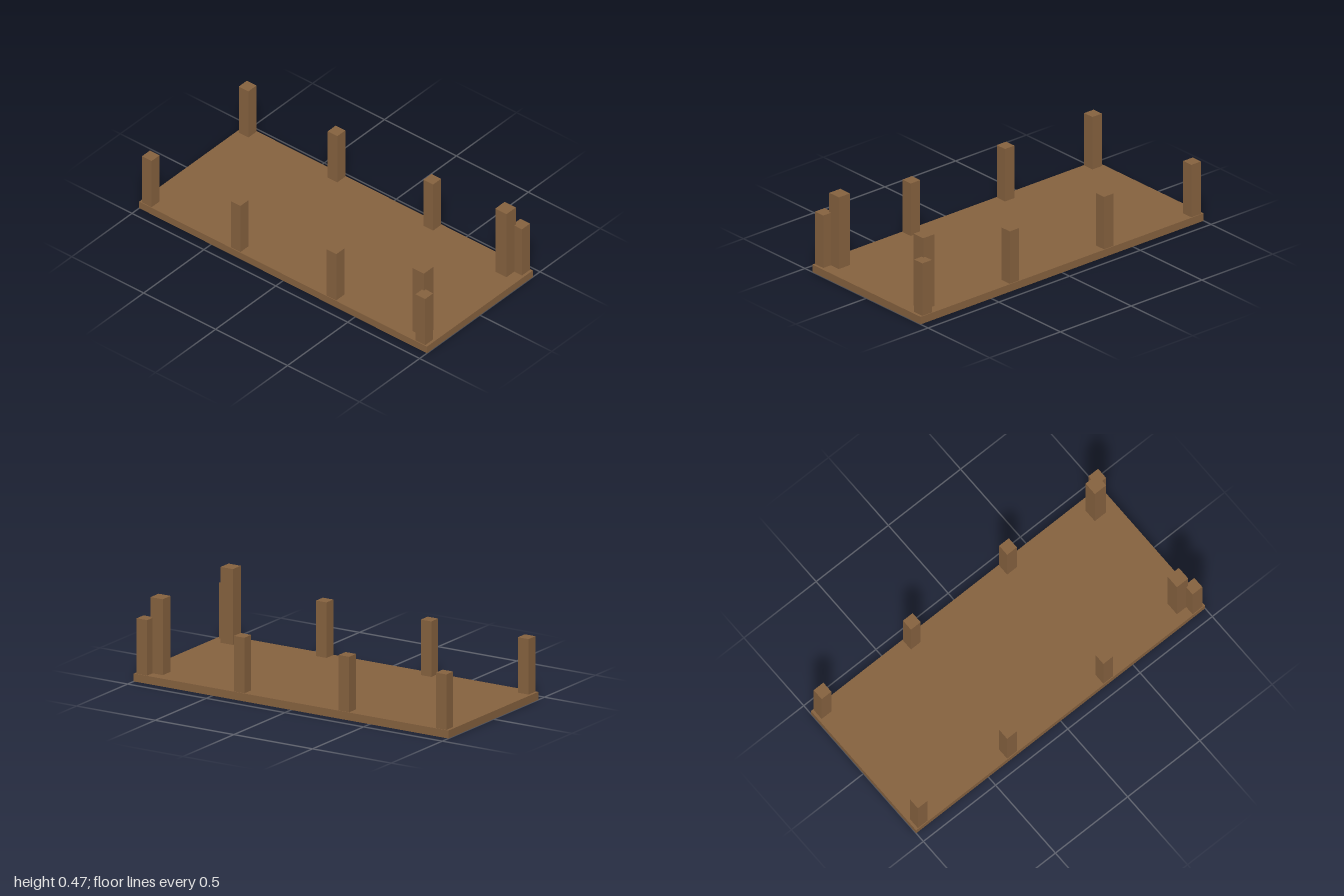
import * as THREE from 'three';

const DECK_HEIGHT = 0.044;

// Box without its bottom face, standing on its own y = 0
function openBox(w, h, d) {
  const g = new THREE.BoxGeometry(w, h, d);
  const index = Array.from(g.index.array);
  index.splice(18, 6);
  g.setIndex(index);
  g.clearGroups();
  g.translate(0, h / 2, 0);
  return g;
}

export function createModel() {
  const model = new THREE.Group();
  model.name = 'postedPlatform';

  const wood = new THREE.MeshStandardMaterial({ color: 0x86623f, side: THREE.DoubleSide });
  wood.name = 'brownWood';

  const add = (name, geometry, x, y, z) => {
    const mesh = new THREE.Mesh(geometry, wood);
    mesh.name = name;
    mesh.position.set(x, y, z);
    model.add(mesh);
  };

  // Shallow deck, hollow underneath
  add('deck', openBox(2, DECK_HEIGHT, 0.88), 0, 0, 0);

  // Posts in mirrored rows along the two long edges
  const post = openBox(0.067, 0.352 - DECK_HEIGHT, 0.067);
  const tallPost = openBox(0.078, 0.465 - DECK_HEIGHT, 0.078);
  for (const side of [1, -1]) {
    const label = side > 0 ? 'front' : 'back';
    [-0.951, -0.333, 0.333, 0.951].forEach((x, i) =>
      add(`${label}Post${i + 1}`, post, x, DECK_HEIGHT, side * 0.402));
    // Taller post just inside the left end
    add(`${label}TallPost`, tallPost, 0.892, DECK_HEIGHT, side * 0.343);
  }

  return model;
}
